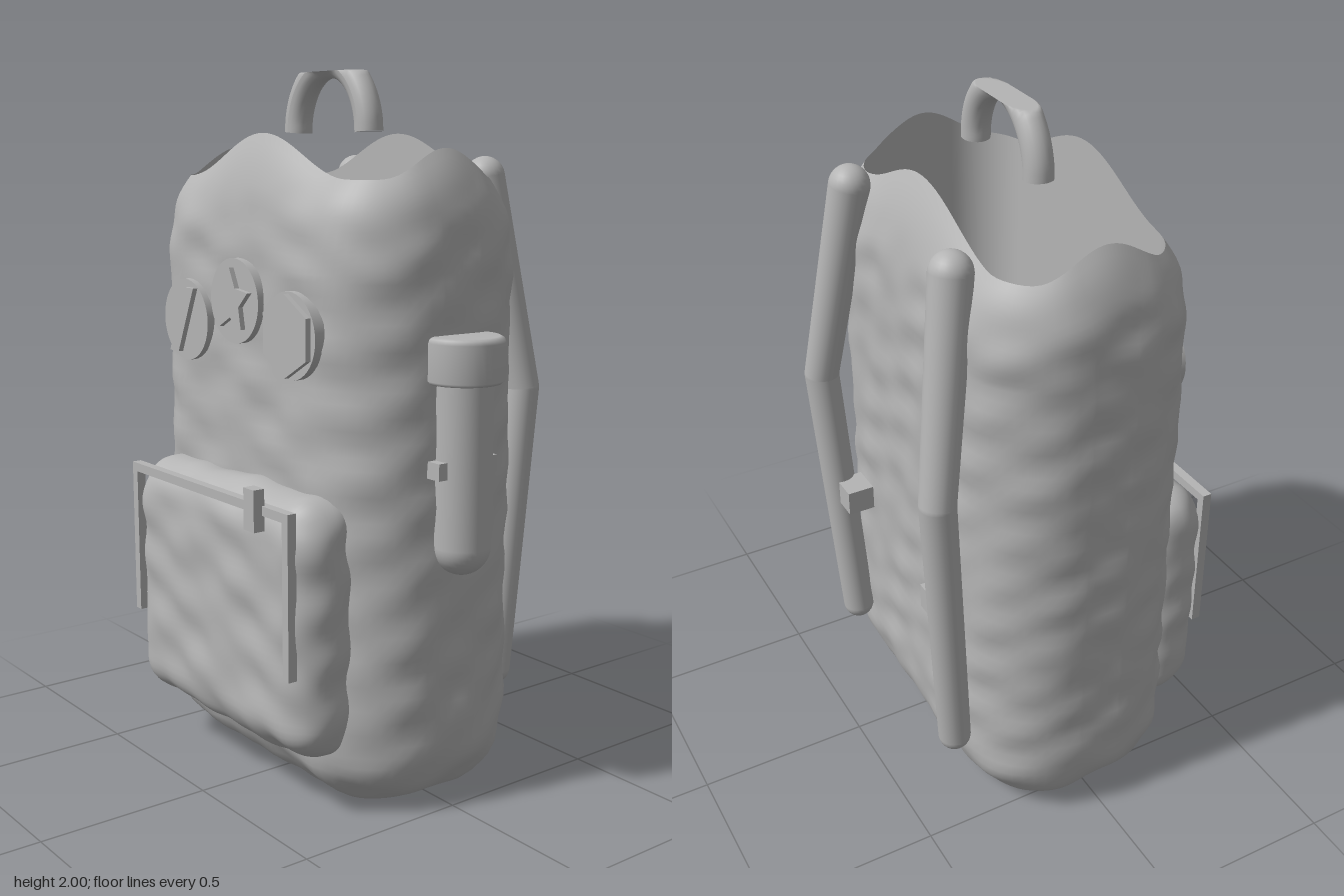
import * as THREE from 'three';
import { mergeVertices } from 'three/addons/utils/BufferGeometryUtils.js';

const grey = new THREE.MeshStandardMaterial({ color: 0xb4b4b4 });
grey.name = 'plain grey';
const CX = -0.06, CZ = -0.01; // centre of the pack body

function add(parent, name, geometry, x = 0, y = 0, z = 0) {
  const mesh = new THREE.Mesh(geometry, grey);
  mesh.name = name;
  mesh.position.set(x, y, z);
  parent.add(mesh);
  return mesh;
}

// Soft cloth lumps
function lump(x, y, z) {
  return 0.0035 * (Math.sin(23 * x + 17 * y + 3) * Math.sin(29 * y - 13 * z)
    + Math.sin(19 * z + 31 * x - 11 * y) * Math.cos(21 * y + 15 * x)
    + 0.8 * Math.sin(37 * y + 26 * z + 9 * x));
}

function makeLumpy(geo, fade = () => 1) {
  geo.computeVertexNormals();
  const p = geo.attributes.position, n = geo.attributes.normal;
  for (let i = 0; i < p.count; i++) {
    const x = p.getX(i), y = p.getY(i), z = p.getZ(i), d = lump(x, y, z) * fade(y);
    p.setXYZ(i, x + n.getX(i) * d, y + n.getY(i) * d, z + n.getZ(i) * d);
  }
  geo.computeVertexNormals();
  return geo;
}

// Rounded rectangle in plan, always with the same number of points
function plan(a, b, r) {
  const pts = [], sx = [1, -1, -1, 1], sz = [1, 1, -1, -1];
  for (let q = 0; q < 4; q++) {
    const corner = (k, t) => [sx[k] * (a - r) + r * Math.cos(t), sz[k] * (b - r) + r * Math.sin(t)];
    for (let i = 0; i <= 12; i++) pts.push(corner(q, (q + i / 12) * Math.PI / 2));
    const from = pts[pts.length - 1], to = corner((q + 1) % 4, (q + 1) * Math.PI / 2);
    const steps = q % 2 ? 14 : 28;
    for (let i = 1; i < steps; i++) {
      const t = i / steps;
      pts.push([from[0] + (to[0] - from[0]) * t, from[1] + (to[1] - from[1]) * t]);
    }
  }
  return pts;
}

// Skin a list of equal rings of [x, y, z] points
function loft(rings) {
  const n = rings[0].length, index = [];
  for (let j = 0; j < rings.length - 1; j++) {
    for (let i = 0; i < n; i++) {
      const a = j * n + i, b = j * n + (i + 1) % n;
      index.push(a, a + n, b, b, a + n, b + n);
    }
  }
  const geo = new THREE.BufferGeometry();
  geo.setAttribute('position', new THREE.Float32BufferAttribute(rings.flat(2), 3));
  geo.setIndex(index);
  geo.computeVertexNormals();
  return geo;
}

const level = (pts, y, s = 1) => pts.map(([x, z]) => [x * s, y, z * s]);

// Rim rises in the middle of each side and dips at the corners
function rimHeight(x, z) {
  const hump = (v, w) => Math.cos(Math.min(Math.abs(v) / w, 1) * Math.PI / 2) ** 2;
  return 1.71 + 0.12 * hump(x, 0.38) * Math.min(1, Math.abs(z) / 0.22)
    + 0.08 * hump(z, 0.2) * Math.min(1, Math.max(0, (Math.abs(x) - 0.38) / 0.1));
}

function buildBody(group) {
  const A = 0.555, B = 0.318, R = 0.25, outer = plan(A, B, R), rim = plan(0.485, 0.24, 0.15);
  const rings = [];
  const base = plan(A - 0.16, B - 0.16, R - 0.16);
  for (let i = 0; i < 6; i++) rings.push(level(base, 0, i / 6 + 0.001));
  for (let i = 0; i <= 10; i++) {
    const t = i / 10 * Math.PI / 2, k = 0.16 * (1 - Math.sin(t));
    rings.push(level(plan(A - k, B - k, R - k), 0.2 * (1 - Math.cos(t))));
  }
  for (let i = 1; i <= 36; i++) rings.push(level(outer, 0.2 + 1.25 * i / 36));
  for (let i = 1; i <= 14; i++) {
    const u = i / 14, w = u ** 3;
    rings.push(outer.map(([x, z], k) => {
      const [rx, rz] = rim[k];
      return [x + (rx - x) * w, 1.45 + (rimHeight(rx, rz) - 1.45) * u, z + (rz - z) * w];
    }));
  }
  const skin = makeLumpy(loft(rings), y => THREE.MathUtils.clamp((1.7 - y) / 0.15, 0, 1));
  const p = skin.attributes.position;
  for (let i = 0; i < p.count; i++) p.setY(i, Math.max(0, p.getY(i)));
  add(group, 'packBody', skin, CX, 0, CZ);
  // Straight-walled cavity and its floor
  const top = rim.map(([x, z]) => [x, rimHeight(x, z), z]);
  add(group, 'innerWall', loft([top, level(rim, 0.1)]), CX, 0, CZ);
  add(group, 'innerFloor', loft([level(rim, 0.1), level(rim, 0.1, 0.001)]), CX, 0, CZ);
}

// Box with rounded edges and a lumpy skin
function softBox(w, h, d, r) {
  let geo = new THREE.BoxGeometry(w, h, d, 44, 36, 14);
  geo.deleteAttribute('uv');
  geo.deleteAttribute('normal');
  geo = mergeVertices(geo);
  const p = geo.attributes.position, v = new THREE.Vector3(), c = new THREE.Vector3();
  const lim = new THREE.Vector3(w / 2 - r, h / 2 - r, d / 2 - r), neg = lim.clone().negate();
  for (let i = 0; i < p.count; i++) {
    v.fromBufferAttribute(p, i);
    c.copy(v).clamp(neg, lim);
    v.sub(c).normalize().multiplyScalar(r).add(c);
    p.setXYZ(i, v.x, v.y, v.z);
  }
  return makeLumpy(geo);
}

function box(group, name, x0, x1, y0, y1, z0, z1) {
  return add(group, name, new THREE.BoxGeometry(x1 - x0, y1 - y0, z1 - z0),
    (x0 + x1) / 2, (y0 + y1) / 2, (z0 + z1) / 2);
}

function buildPocket(group) {
  add(group, 'frontPocket', softBox(0.88, 0.73, 0.23, 0.11), -0.055, 0.522, 0.315);
  box(group, 'zipperTop', -0.463, 0.338, 0.84, 0.866, 0.411, 0.438);
  for (const x of [-0.45, 0.325]) box(group, 'zipperSide', x - 0.013, x + 0.013, 0.41, 0.866, 0.411, 0.438);
  box(group, 'zipperPull', 0.174, 0.222, 0.797, 0.912, 0.43, 0.464);
}

function buildBadges(group) {
  const polygon = (n, radius) => new THREE.Shape(Array.from({ length: n }, (_, i) => {
    const t = Math.PI / 2 + i * Math.PI * 2 / n, r = radius(i);
    return new THREE.Vector2(r * Math.cos(t), r * Math.sin(t));
  }));
  const slash = new THREE.Shape([[-0.068, -0.095], [-0.02, -0.095], [0.066, 0.095], [0.02, 0.095]]
    .map(([x, y]) => new THREE.Vector2(x, y)));
  const badges = [
    ['slash', -0.32, 1.3, slash],
    ['star', -0.064, 1.375, polygon(10, i => i % 2 ? 0.045 : 0.092)],
    ['hexagon', 0.195, 1.304, polygon(6, () => 0.112)],
  ];
  for (const [name, x, y, shape] of badges) {
    add(group, name + 'Badge', new THREE.CylinderGeometry(0.118, 0.118, 0.05, 40), x, y, 0.304).rotation.x = Math.PI / 2;
    add(group, name + 'Emblem', new THREE.ExtrudeGeometry(shape, { depth: 0.017, bevelEnabled: false }), x, y, 0.327);
  }
}

function lathe(points) {
  return new THREE.LatheGeometry(points.map(([r, y]) => new THREE.Vector2(r, y)), 36);
}

function buildBottle(group) {
  const profile = [];
  for (let i = 0; i <= 10; i++) {
    const t = i / 10 * Math.PI / 2;
    profile.push([0.08 * Math.sin(t), 0.75 - 0.08 * Math.cos(t)]);
  }
  add(group, 'bottle', lathe([...profile, [0.08, 1.22]]), 0.511, 0, -0.006);
  add(group, 'bottleCap', lathe([[0, 1.19], [0.1, 1.19], [0.109, 1.199], [0.109, 1.298],
    [0.104, 1.309], [0.094, 1.314], [0, 1.314]]), 0.511, 0, -0.006);
  box(group, 'bottleClip', 0.49, 0.537, 0.942, 0.988, -0.106, 0.098);
}

function buildHandle(group) {
  // Arched grip with a flattened top
  const path = new THREE.CatmullRomCurve3(Array.from({ length: 17 }, (_, i) => {
    const t = i / 16 * Math.PI;
    return new THREE.Vector3(CX + 0.165 * Math.cos(t), 1.833 + 0.188 * Math.sin(t), CZ);
  }));
  const geo = new THREE.TubeGeometry(path, 48, 0.04, 20);
  const p = geo.attributes.position;
  for (let i = 0; i < p.count; i++) p.setY(i, Math.min(2, p.getY(i)));
  geo.computeVertexNormals();
  add(group, 'handle', geo);
  for (const s of [-1, 1]) {
    add(group, 'handleEnd', new THREE.CircleGeometry(0.04, 20), CX + s * 0.165, 1.833, CZ).rotation.x = Math.PI / 2;
  }
}

function buildStraps(group) {
  for (const s of [-1, 1]) {
    const strap = new THREE.Group();
    strap.name = s > 0 ? 'leftStrap' : 'rightStrap';
    group.add(strap);
    const joints = [[0.295, 1.71, -0.325, 0.057], [0.372, 1.11, -0.415, 0.05], [0.335, 0.255, -0.363, 0.047]]
      .map(([x, y, z, r]) => ({ at: new THREE.Vector3(CX + s * x, y, z), r }));
    for (const { at, r } of joints) add(strap, 'strapEnd', new THREE.SphereGeometry(r, 24, 16), at.x, at.y, at.z);
    for (let i = 0; i < 2; i++) {
      const a = joints[i], b = joints[i + 1], dir = a.at.clone().sub(b.at);
      const mid = a.at.clone().add(b.at).multiplyScalar(0.5);
      const rod = add(strap, 'strapLength', new THREE.CylinderGeometry(a.r, b.r, dir.length(), 24, 1, true), mid.x, mid.y, mid.z);
      rod.quaternion.setFromUnitVectors(new THREE.Vector3(0, 1, 0), dir.normalize());
    }
    const x = CX + s * 0.285;
    box(strap, 'strapBuckle', x - 0.045, x + 0.045, 0.68, 0.755, -0.41, -0.33);
  }
}

export function createModel() {
  const group = new THREE.Group();
  group.name = 'backpack';
  for (const build of [buildBody, buildPocket, buildBadges, buildBottle, buildHandle, buildStraps]) build(group);
  return group;
}
